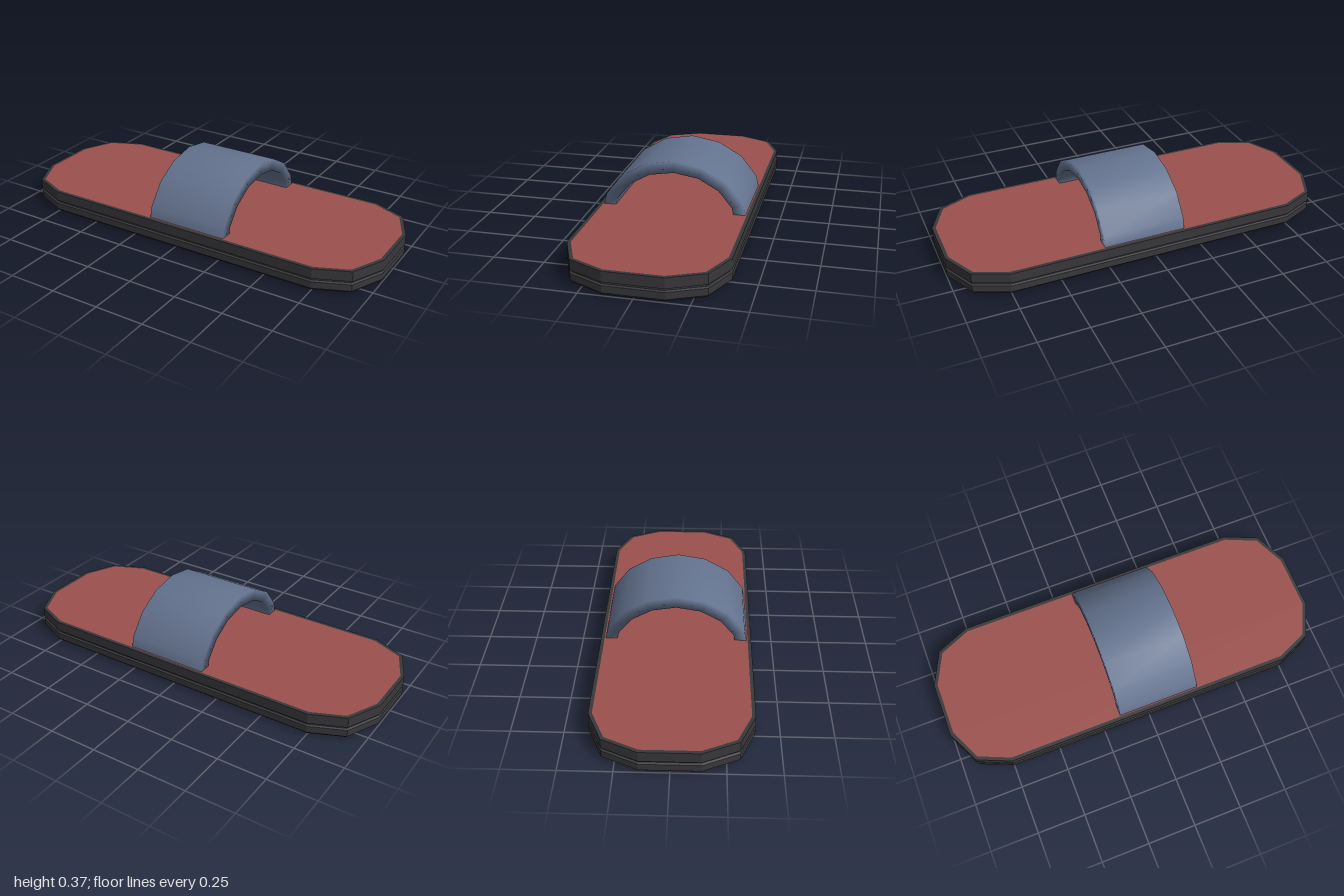
import * as THREE from 'three';

const rubber = new THREE.MeshStandardMaterial({ color: 0x38383b, flatShading: true });
rubber.name = 'black rubber';
const red = new THREE.MeshStandardMaterial({ color: 0x9b504c });
red.name = 'red insole';
const blue = new THREE.MeshStandardMaterial({ color: 0x64738f });
blue.name = 'blue strap';

// One quarter of the outline: x, z, and the inward shift per unit of inset
const QUARTER = [
  [1.0, 0.14, 1, 0.23],
  [0.92, 0.31, 0.74, 0.77],
  [0.75, 0.383, 0.21, 1],
];

// Full outline, running from +x towards +z
function outline(inset) {
  const q = QUARTER.map(([x, z, dx, dz]) => [x - inset * dx, z - inset * dz]);
  const r = [...q].reverse();
  return [
    ...q,
    ...r.map(([x, z]) => [-x, z]),
    ...q.map(([x, z]) => [-x, -z]),
    ...r.map(([x, z]) => [x, -z]),
  ];
}

function makeMesh(name, positions, index, material) {
  const g = new THREE.BufferGeometry();
  g.setAttribute('position', new THREE.Float32BufferAttribute(positions, 3));
  g.setIndex(index);
  g.computeVertexNormals();
  const m = new THREE.Mesh(g, material);
  m.name = name;
  return m;
}

// Sole: stacked outlines with a bevelled base and a groove round the middle
const TOP = 0.117, RIM = 0.018;
function makeSole() {
  const levels = [
    [0.014, 0], [0, 0.014], [0, 0.048], [0.01, 0.053],
    [0.01, 0.06], [0, 0.065], [0, TOP], [RIM, TOP],
  ];
  const pos = [], idx = [], n = 12;
  for (const [inset, y] of levels) {
    for (const [x, z] of outline(inset)) pos.push(x, y, z);
  }
  for (let r = 0; r < levels.length - 1; r++) {
    for (let i = 0; i < n; i++) {
      const a = r * n + i, b = r * n + (i + 1) % n;
      idx.push(a, a + n, b + n, a, b + n, b);
    }
  }
  for (let i = 1; i < n - 1; i++) idx.push(0, i, i + 1); // underside
  return makeMesh('sole', pos, idx, rubber);
}

// Insole: flat face filling the rim
function makeInsole() {
  const pos = [], idx = [];
  for (const [x, z] of outline(RIM)) pos.push(x, TOP, z);
  for (let i = 1; i < 11; i++) idx.push(0, i + 1, i);
  return makeMesh('insole', pos, idx, red);
}

// Strap: a thick band arched over the insole, with soft shading
function makeStrap() {
  // outer z, outer y, inner z, inner y
  const half = [
    [0.361, 0.11, 0.301, 0.11],
    [0.348, 0.17, 0.292, 0.15],
    [0.266, 0.275, 0.224, 0.233],
    [0.144, 0.345, 0.122, 0.29],
  ];
  const stations = [
    ...half,
    [0, 0.37, 0, 0.31],
    ...[...half].reverse().map(([a, b, c, d]) => [-a, b, -c, d]),
  ];
  const x0 = -0.156, x1 = 0.268, pos = [], idx = [];
  for (const [oz, oy, iz, iy] of stations) {
    pos.push(x0, oy, oz, x1, oy, oz, x1, iy, iz, x0, iy, iz);
  }
  for (let j = 0; j < stations.length - 1; j++) {
    for (let k = 0; k < 4; k++) {
      const a = j * 4 + k, b = j * 4 + (k + 1) % 4;
      idx.push(a, b, b + 4, a, b + 4, a + 4);
    }
  }
  return makeMesh('strap', pos, idx, blue);
}

export function createModel() {
  const group = new THREE.Group();
  group.name = 'slide sandal';
  group.add(makeSole(), makeInsole(), makeStrap());
  return group;
}
